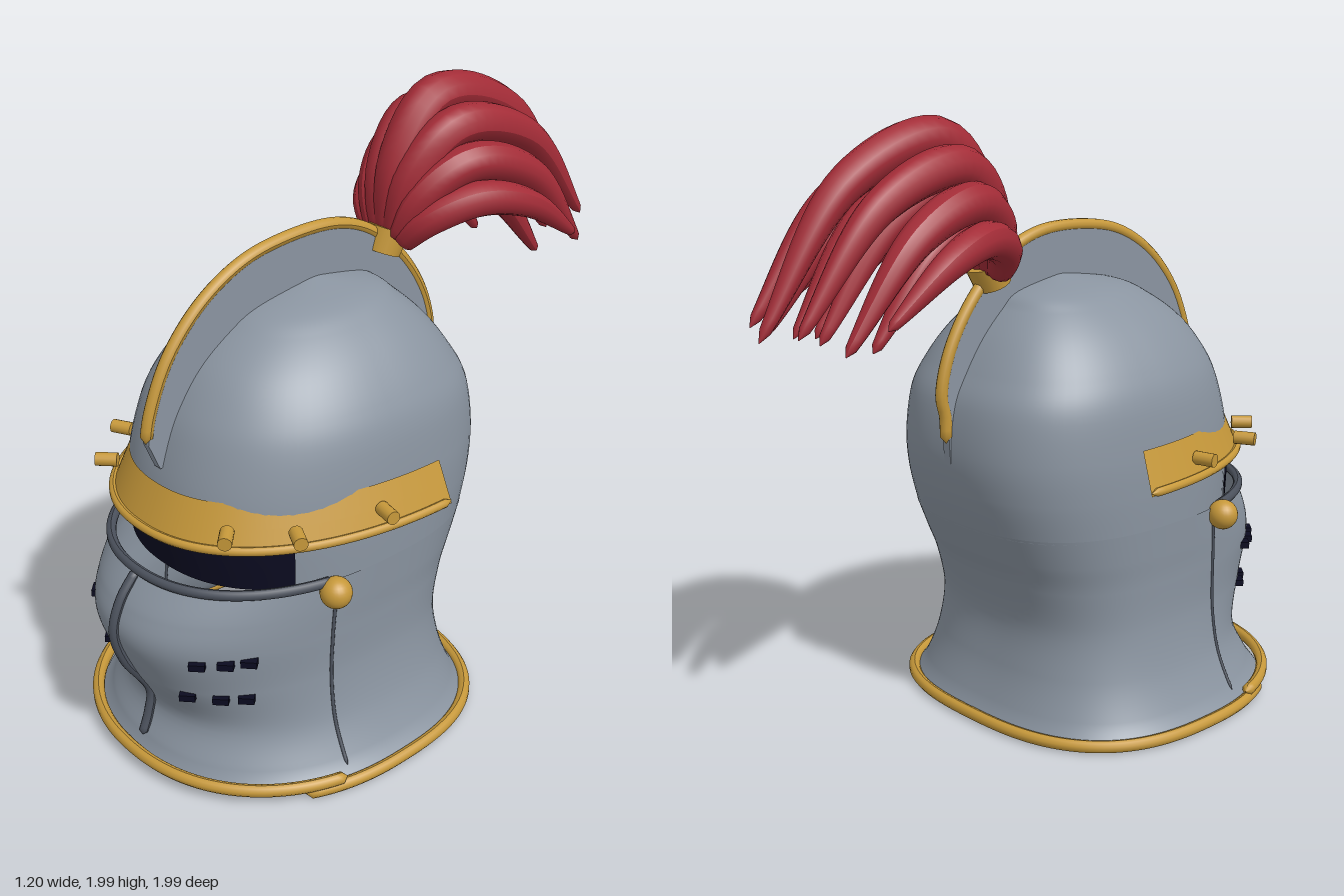
import * as THREE from 'three';
import { ParametricGeometry } from 'three/addons/geometries/ParametricGeometry.js';

const mat = (name, color, side = THREE.FrontSide) => {
  const m = new THREE.MeshStandardMaterial({ color, side });
  m.name = name;
  return m;
};
const V = (x, y, z) => new THREE.Vector3(x, y, z);

// Horizontal sections: [y, half width, front z, back z, centre z]
const LOWER = [
  [0.02, 0.575, 0.94, -0.21, 0.33], [0.08, 0.53, 0.905, -0.18, 0.31],
  [0.2, 0.48, 0.86, -0.145, 0.29], [0.35, 0.452, 0.925, -0.13, 0.28],
  [0.5, 0.45, 0.975, -0.17, 0.28], [0.6, 0.455, 0.95, -0.215, 0.27],
  [0.7, 0.46, 0.88, -0.26, 0.26],
];
const UPPER = [
  [0.69, 0.459, 0.79, -0.256, 0.26], [0.82, 0.46, 0.8, -0.295, 0.25],
  [0.95, 0.455, 0.795, -0.31, 0.245], [1.1, 0.435, 0.75, -0.29, 0.23],
  [1.2, 0.395, 0.7, -0.24, 0.23], [1.3, 0.325, 0.62, -0.17, 0.22],
  [1.38, 0.24, 0.51, -0.09, 0.2], [1.43, 0.155, 0.4, -0.02, 0.18],
  [1.468, 0.002, 0.176, 0.172, 0.174],
];
const BAND = [[0.842, 0.525, 0.865, -0.4, 0.07], [0.978, 0.475, 0.8, -0.4, 0.08]];

// Smooth interpolation along a list of sections, t from 0 to 1
function sectionAt(rows, t) {
  const p = t * (rows.length - 1);
  const i = Math.min(Math.floor(p), rows.length - 2), f = p - i;
  const r = (k) => rows[THREE.MathUtils.clamp(k, 0, rows.length - 1)];
  return rows[0].map((_, k) => {
    const b = r(i)[k], c = r(i + 1)[k];
    const m0 = (c - r(i - 1)[k]) / 2, m1 = (r(i + 2)[k] - b) / 2;
    const f2 = f * f, f3 = f2 * f;
    return (2 * f3 - 3 * f2 + 1) * b + (f3 - 2 * f2 + f) * m0 + (3 * f2 - 2 * f3) * c + (f3 - f2) * m1;
  });
}

// Point on a rounded section, fuller at the back than the front
function sectionPoint([y, a, front, back, c], th, grow = 0) {
  const cs = Math.cos(th), sn = Math.sin(th);
  const e = 2 / (sn >= 0 ? 2.2 : 2.7);
  const depth = sn >= 0 ? front - c : c - back;
  return V(Math.sign(cs) * Math.abs(cs) ** e * (a + grow), y,
    c + Math.sign(sn) * Math.abs(sn) ** e * (depth + grow));
}
// Angle at which a section's front half crosses a given z
const angleAtZ = ([, , front, , c], z) => Math.asin(((z - c) / (front - c)) ** 1.1);

// Surface through the sections; range gives the start and end angle of each section
function loft(rows, range, cols, stacks, grow = 0, t0 = 0, t1 = 1) {
  return new ParametricGeometry((u, v, out) => {
    const s = sectionAt(rows, t0 + (t1 - t0) * v);
    const [lo, hi] = range(s);
    out.copy(sectionPoint(s, hi - (hi - lo) * u, grow));
  }, cols, stacks);
}

// Tube whose radius follows a rule along its length, with closed ends
function taperTube(points, radius, segs = 40, sides = 10) {
  const curve = new THREE.CatmullRomCurve3(points);
  const g = new THREE.TubeGeometry(curve, segs, 1, sides);
  const pos = g.attributes.position, v = V(0, 0, 0);
  for (let i = 0; i <= segs; i++) {
    const c = curve.getPointAt(i / segs);
    const r = i === 0 || i === segs ? 0.001 : radius(i / segs);
    for (let j = 0; j <= sides; j++) {
      const k = i * (sides + 1) + j;
      v.fromBufferAttribute(pos, k).sub(c).multiplyScalar(r).add(c);
      pos.setXYZ(k, v.x, v.y, v.z);
    }
  }
  g.computeVertexNormals();
  return g;
}
const rod = (points, r, segs = 80) => taperTube(points, () => r, segs);
const arc = (s, lo, hi, n = 40) =>
  Array.from({ length: n + 1 }, (_, i) => sectionPoint(s, lo + (hi - lo) * i / n));

export function createModel() {
  const model = new THREE.Group();
  model.name = 'helmet';
  const steel = mat('steel', 0x8a94a0, THREE.DoubleSide);
  const darkSteel = mat('dark steel', 0x4b515c);
  const gold = mat('gold', 0xc6983a);
  const goldPlate = mat('gold plate', 0xc6983a, THREE.DoubleSide);
  const red = mat('plume red', 0xa32c37);
  const black = mat('opening black', 0x0b0b20, THREE.DoubleSide);
  const add = (name, geo, material, parent = model) => {
    const m = new THREE.Mesh(geo, material);
    m.name = name;
    parent.add(m);
    return m;
  };
  const PI = Math.PI, SEAM = 0.5;

  // Skull, neck guard and visor
  add('skull', loft(UPPER, () => [-PI / 2, PI * 1.5], 72, 48), steel);
  add('neckGuard', loft(LOWER, (s) => {
    const a = angleAtZ(s, SEAM);
    return [PI - a, 2 * PI + a];
  }, 64, 36), steel);
  add('visor', loft(LOWER, (s) => {
    const a = angleAtZ(s, SEAM);
    return [a, PI - a];
  }, 48, 36), steel);
  add('eyeSlot', loft(UPPER, (s) => {
    const a = angleAtZ(s, 0.58);
    return [a, PI - a];
  }, 40, 8, 0.006, 0.005, 0.16), black);

  // Visor rim, central ridge, side seams and pivots
  const rim = [0.705, 0.468, 0.885, -0.26, 0.26];
  const rimAngle = angleAtZ(rim, 0.48);
  add('visorRim', rod(arc(rim, rimAngle, PI - rimAngle), 0.016), darkSteel);
  add('visorRidge', rod([[0.7, 0.885], [0.62, 0.95], [0.52, 0.983], [0.4, 0.955],
    [0.24, 0.868], [0.16, 0.88], [0.08, 0.91]].map(([y, z]) => V(0, y, z)), 0.016, 50), darkSteel);
  for (const side of [1, -1]) {
    const seam = [];
    for (let i = 0; i <= 20; i++) {
      const s = sectionAt(LOWER, 0.12 + 0.8 * i / 20);
      const p = sectionPoint(s, angleAtZ(s, SEAM - 0.03 * i / 20));
      seam.push(V(p.x * side, p.y, p.z));
    }
    add('visorSeam', rod(seam, 0.006, 40), darkSteel);
    add('visorPivot', new THREE.SphereGeometry(0.05, 24, 16), gold).position.set(0.465 * side, 0.675, 0.49);

    // Breathing holes
    for (const t of [0.645, 0.485]) {
      const s = sectionAt(LOWER, t);
      for (const z of [0.74, 0.8, 0.865]) {
        const a = angleAtZ(s, z);
        const p = sectionPoint(s, a, 0.005);
        const hole = add('breathHole', new THREE.BoxGeometry(0.05, 0.022, 0.03), black);
        hole.position.set(p.x * side, p.y, p.z);
        hole.rotation.y = side * 0.75;
      }
    }
  }

  // Gold trim round the lower edge
  const backTrim = [0.025, 0.582, 0.945, -0.222, 0.33];
  const frontTrim = [0.052, 0.582, 0.95, -0.22, 0.33];
  const b = angleAtZ(backTrim, 0.66), f = angleAtZ(frontTrim, 0.53);
  add('backTrim', rod(arc(backTrim, PI - b, 2 * PI + b, 60), 0.02, 120), gold);
  add('frontTrim', rod(arc(frontTrim, f, PI - f), 0.02), gold);

  // Brow band with lip and rivets
  add('browBand', loft(BAND, () => [0, PI], 64, 2), goldPlate);
  add('browLip', rod(arc([0.852, 0.523, 0.863, -0.4, 0.07], 0, PI), 0.014), gold);
  for (const side of [1, -1]) {
    for (const [x, z] of [[0.515, 0.33], [0.445, 0.615], [0.305, 0.77]]) {
      const rivet = add('browRivet', new THREE.CylinderGeometry(0.022, 0.022, 0.07, 14), gold);
      rivet.position.set(x * side, 0.91, z);
      rivet.quaternion.setFromUnitVectors(V(0, 1, 0),
        V(side * x / 0.25, 0, (z - 0.07) / 0.6).normalize());
    }
  }

  // Crest fin with gold edge, drawn as [z, y]
  const edge = [[0.82, 1.11], [0.8, 1.2], [0.725, 1.36], [0.6, 1.495], [0.45, 1.58], [0.3, 1.612],
    [0.1, 1.612], [-0.03, 1.57], [-0.15, 1.48], [-0.25, 1.36], [-0.31, 1.24], [-0.332, 1.13],
    [-0.318, 1.07], [-0.315, 0.98]];
  const edgePoints = edge.map(([z, y]) => V(0, y, z));
  add('crestEdge', rod(edgePoints, 0.02), gold);
  const fin = new THREE.Shape();
  fin.moveTo(0.785, 1.02);
  for (const p of new THREE.CatmullRomCurve3(edgePoints).getPoints(60)) fin.lineTo(p.z, p.y);
  for (const [z, y] of [[-0.31, 0.91], [-0.27, 0.95], [-0.25, 1.15], [-0.12, 1.32], [0.02, 1.41],
    [0.17, 1.44], [0.38, 1.4], [0.58, 1.29], [0.7, 1.14], [0.76, 1.02]]) fin.lineTo(z, y);
  const finGeo = new THREE.ExtrudeGeometry(fin, { depth: 0.03, bevelEnabled: false });
  finGeo.translate(0, 0, -0.015).rotateY(-PI / 2);
  add('crestFin', finGeo, steel);

  // Plume socket
  const socket = add('plumeSocket', new THREE.CylinderGeometry(0.068, 0.06, 0.08, 20), gold);
  socket.position.set(0, 1.5, -0.13);
  socket.rotation.x = -0.4;

  // Plume feathers: [tip x, apex y, tip y, tip z, thickness]
  const plume = new THREE.Group();
  plume.name = 'plume';
  model.add(plume);
  for (const [x, apex, tipY, tipZ, r] of [
    [0, 1.925, 1.4, -0.99, 0.062], [0.12, 1.85, 1.42, -0.94, 0.06], [0.2, 1.75, 1.37, -0.84, 0.058],
    [0.265, 1.645, 1.44, -0.74, 0.052], [0.065, 1.79, 1.38, -0.83, 0.055],
    [0.14, 1.68, 1.35, -0.7, 0.05], [0, 1.72, 1.5, -0.72, 0.055],
  ]) {
    for (const side of x ? [1, -1] : [1]) {
      const sx = x * side;
      add('feather', taperTube([
        V(sx * 0.2, 1.5, -0.14),
        V(sx * 0.5, 1.5 + 0.62 * (apex - 1.5), -0.185),
        V(sx * 0.8, apex, -0.33),
        V(sx * 0.98, tipY + 0.8 * (apex - tipY), tipZ * 0.68),
        V(sx, tipY, tipZ),
      ], (t) => 0.012 + 0.022 * (1 - t) + (r - 0.02) * Math.sin(PI * Math.min(1, t ** 0.75)) ** 0.8, 36, 12), red, plume);
    }
  }
  return model;
}
